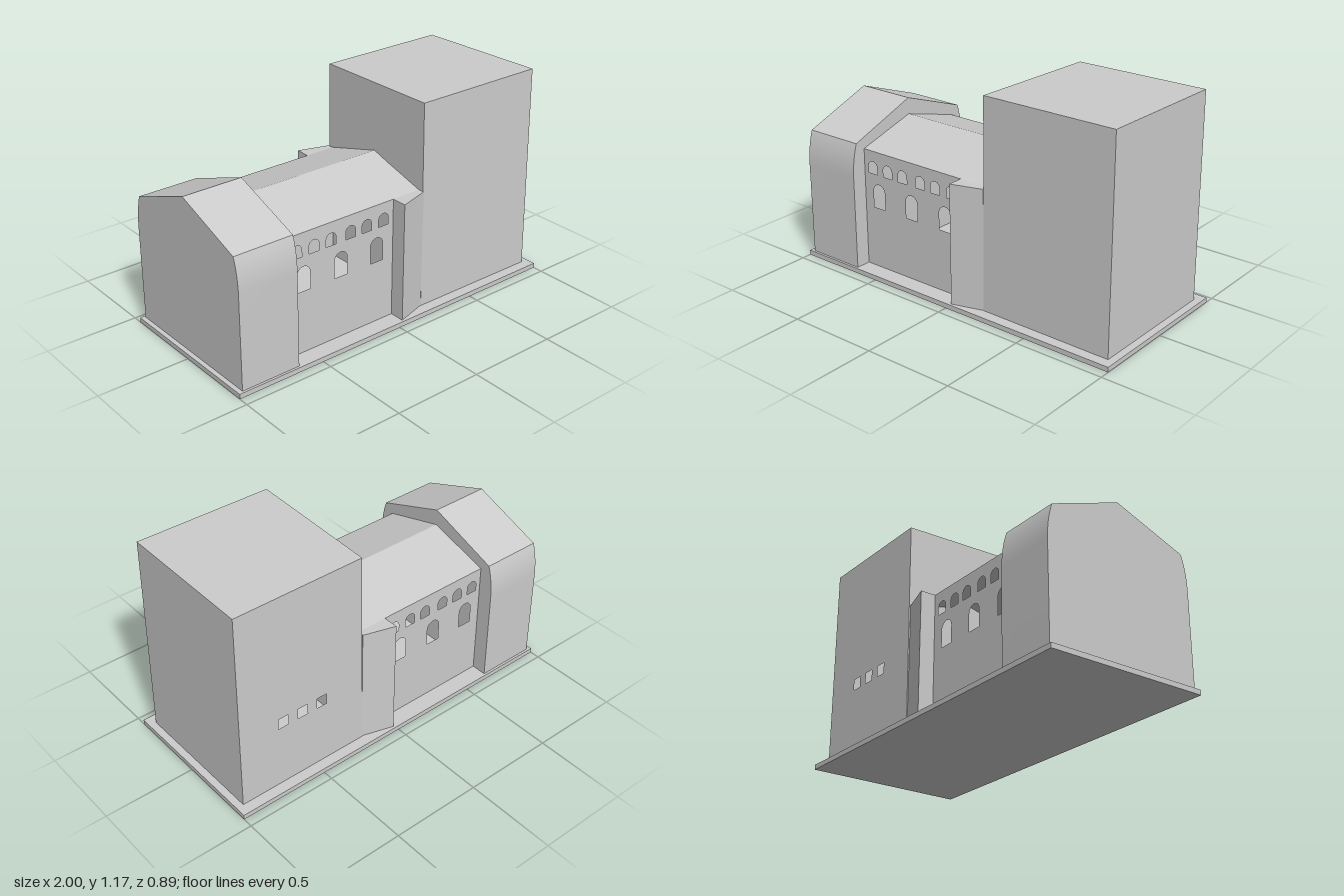
import * as THREE from 'three';
import { toCreasedNormals } from 'three/addons/utils/BufferGeometryUtils.js';

const BASE_TOP = 0.027;
const EAVES = 0.687;

export function createModel() {
  const group = new THREE.Group();
  const material = new THREE.MeshStandardMaterial({ color: 0xcccccc, side: THREE.DoubleSide });

  function add(name, geometry, parent = group) {
    const mesh = new THREE.Mesh(geometry, material);
    mesh.name = name;
    parent.add(mesh);
    return mesh;
  }

  function part(name) {
    const g = new THREE.Group();
    g.name = name;
    group.add(g);
    return g;
  }

  // Flat panel from corners listed anticlockwise as seen from outside
  function panel(...corners) {
    const geo = new THREE.BufferGeometry();
    geo.setAttribute('position', new THREE.Float32BufferAttribute(corners.flat(), 3));
    geo.setIndex(corners.length === 4 ? [0, 1, 2, 0, 2, 3] : [0, 1, 2]);
    const flat = geo.toNonIndexed();
    flat.computeVertexNormals();
    return flat;
  }

  // Wall sheet with openings, facing front (+1) or back (-1)
  function wall(outline, holes, z, side) {
    const flip = ([x, y]) => new THREE.Vector2(x * side, y);
    const shape = new THREE.Shape(outline.map(flip));
    shape.holes = holes.map((h) => new THREE.Path(h.getPoints(8).map((p) => flip([p.x, p.y]))));
    const geo = new THREE.ShapeGeometry(shape);
    if (side < 0) geo.rotateY(Math.PI);
    return geo.translate(0, 0, z * side);
  }

  function archedOpening(x, bottom, top, width) {
    const r = width / 2;
    const p = new THREE.Path();
    p.moveTo(x - r, bottom);
    p.lineTo(x + r, bottom);
    p.lineTo(x + r, top - r);
    p.absarc(x, top - r, r, 0, Math.PI, false);
    p.closePath();
    return p;
  }

  function squareOpening(x, y, size) {
    const s = size / 2;
    return new THREE.Path([[-s, -s], [s, -s], [s, s], [-s, s], [-s, -s]]
      .map(([dx, dy]) => new THREE.Vector2(x + dx, y + dy)));
  }

  // Base slab
  add('baseSlab', new THREE.BoxGeometry(2, BASE_TOP, 0.89).translate(0, BASE_TOP / 2, 0));

  // End pavilion: walls curve inwards below a gable roof
  const profile = new THREE.Shape();
  profile.moveTo(-0.432, BASE_TOP);
  profile.lineTo(0.432, BASE_TOP);
  profile.lineTo(0.432, 0.54);
  profile.quadraticCurveTo(0.432, 0.645, 0.402, 0.73);
  profile.lineTo(0, 0.878);
  profile.lineTo(-0.402, 0.73);
  profile.quadraticCurveTo(-0.432, 0.645, -0.432, 0.54);
  profile.closePath();
  const pavilion = new THREE.ExtrudeGeometry(profile, { depth: 0.335, bevelEnabled: false, curveSegments: 8 });
  pavilion.rotateY(Math.PI / 2).translate(-0.975, 0, 0);
  add('endPavilion', toCreasedNormals(pavilion, 0.4));

  // Hall: hollow, with two rows of arched windows on both sides
  const hall = part('hall');
  const x0 = -0.64, x1 = 0.2, hallZ = 0.347, ridge = 0.786;
  const windows = [
    ...[-0.58, -0.475, -0.37, -0.248, -0.145, -0.037].map((x) => archedOpening(x, 0.56, 0.628, 0.062)),
    ...[-0.54, -0.31, -0.08].map((x) => archedOpening(x, 0.37, 0.505, 0.08)),
  ];
  const hallOutline = [[x0, BASE_TOP], [x1, BASE_TOP], [x1, EAVES], [x0, EAVES]];
  for (const side of [1, -1]) {
    const label = side > 0 ? 'front' : 'back';
    add(`${label}HallWall`, wall(hallOutline, windows, hallZ, side), hall);
    const slope = [[x0, EAVES, hallZ * side], [x1, EAVES, hallZ * side], [x1, ridge, 0], [x0, ridge, 0]];
    add(`${label}HallRoof`, panel(...(side > 0 ? slope : slope.reverse())), hall);
  }

  // Tower: hollow, slightly out of square, with three small windows at the back
  const tower = part('tower');
  const zb = -0.385;
  const bottom = { fl: [0.2, BASE_TOP, 0.383], fr: [0.96, BASE_TOP, 0.388], br: [0.96, BASE_TOP, zb], bl: [0.2, BASE_TOP, zb] };
  const top = { fl: [0.196, 1.162, 0.372], fr: [0.953, 1.167, 0.378], br: [0.953, 1.156, zb], bl: [0.213, 1.152, zb] };
  add('towerFront', panel(bottom.fl, bottom.fr, top.fr, top.fl), tower);
  add('towerRightSide', panel(bottom.fr, bottom.br, top.br, top.fr), tower);
  add('towerLeftSide', panel(bottom.bl, bottom.fl, top.fl, top.bl), tower);
  add('towerRoof', panel(top.fl, top.fr, top.br, top.bl), tower);
  const backOutline = [bottom.bl, bottom.br, top.br, top.bl].map(([x, y]) => [x, y]);
  const backWindows = [0.465, 0.582, 0.7].map((x) => squareOpening(x, 0.415, 0.06));
  add('towerBack', wall(backOutline, backWindows, -zb, -1), tower);

  // Flared buttresses joining the tower to the hall
  for (const side of [1, -1]) {
    const plan = [[0.027, hallZ], [0.027, 0.432], [0.2, 0.381], [0.2, hallZ]]
      .map(([x, z]) => new THREE.Vector2(x, -z * side));
    const geo = new THREE.ExtrudeGeometry(new THREE.Shape(plan), { depth: EAVES - BASE_TOP, bevelEnabled: false });
    geo.rotateX(-Math.PI / 2).translate(0, BASE_TOP, 0);
    add(side > 0 ? 'frontButtress' : 'backButtress', geo);
  }

  return group;
}
